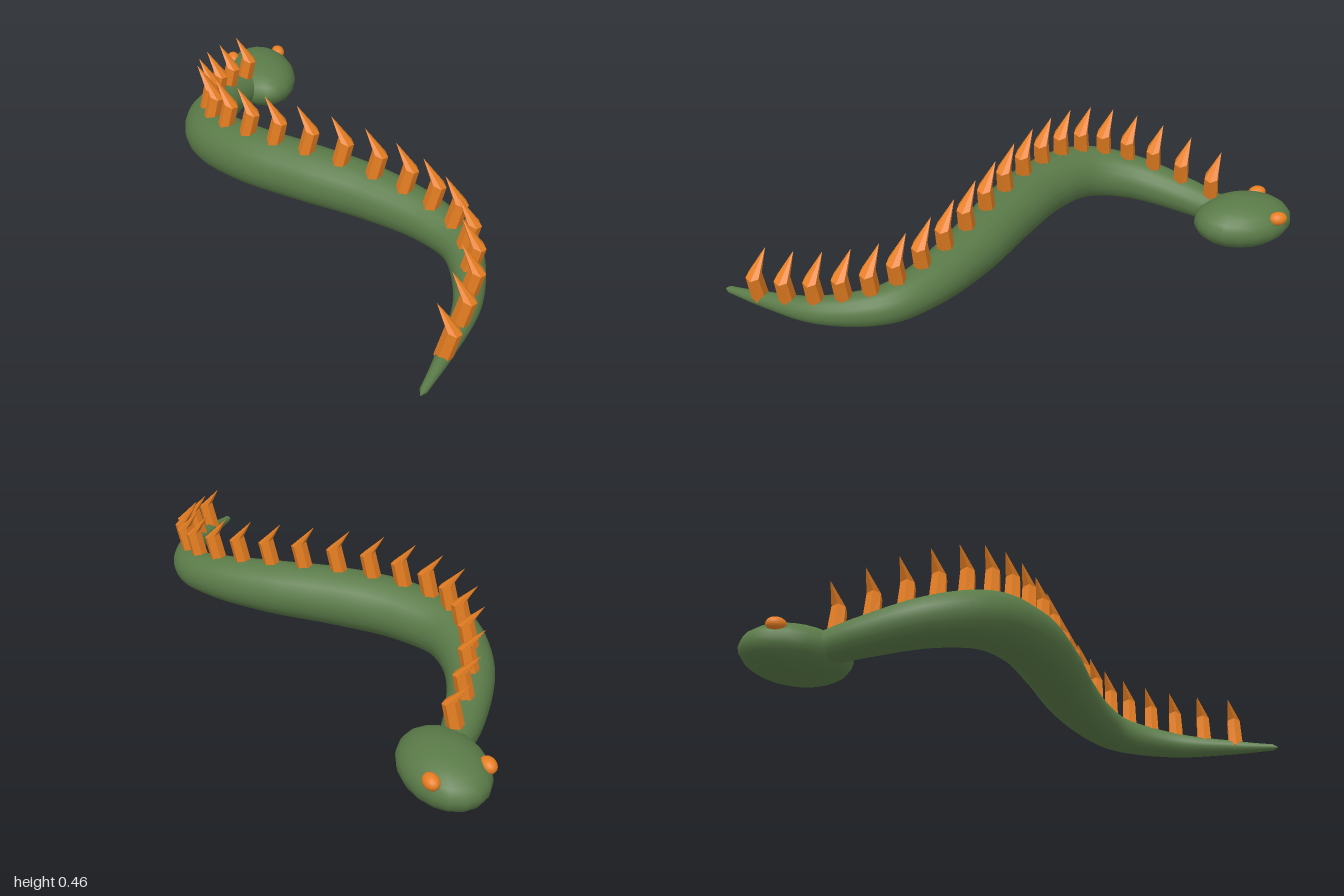
import * as THREE from 'three';

const green = new THREE.MeshStandardMaterial({ color: 0x5a7a48 });
green.name = 'scaleGreen';
const orange = new THREE.MeshStandardMaterial({ color: 0xe67e22 });
orange.name = 'spineOrange';

// Body stations from tail to neck: x, y, z, radius
const stations = [
  [0.01, 0.095, 0.99, 0.011],
  [0.13, 0.115, 0.87, 0.026],
  [0.27, 0.144, 0.70, 0.046],
  [0.325, 0.172, 0.50, 0.064],
  [0.275, 0.189, 0.365, 0.077],
  [0.135, 0.204, 0.19, 0.092],
  [-0.045, 0.211, 0.02, 0.1],
  [-0.2, 0.206, -0.145, 0.1],
  [-0.288, 0.189, -0.315, 0.094],
  [-0.265, 0.158, -0.485, 0.081],
  [-0.155, 0.12, -0.655, 0.065],
  [-0.01, 0.09, -0.8, 0.05],
];
const path = new THREE.CatmullRomCurve3(stations.map(([x, y, z]) => new THREE.Vector3(x, y, z)));
const radii = new THREE.SplineCurve(stations.map((s) => new THREE.Vector2(s[3], 0)));

function add(group, name, geometry, material) {
  const mesh = new THREE.Mesh(geometry, material);
  mesh.name = name;
  group.add(mesh);
  return mesh;
}

// Tube of unit radius, scaled ring by ring; the end rings close the tube
function bodyGeometry() {
  const rings = 96, sides = 18;
  const geo = new THREE.TubeGeometry(path, rings, 1, sides, false);
  const pos = geo.attributes.position;
  const v = new THREE.Vector3();
  for (let i = 0; i <= rings; i++) {
    const own = path.getPointAt(i / rings);
    const closed = i === 0 || i === rings;
    const u = THREE.MathUtils.clamp(i, 1, rings - 1) / rings;
    const r = closed ? 0 : radii.getPoint(path.getUtoTmapping(u)).x;
    const centre = closed ? path.getPointAt((i === 0 ? 0.001 : 0.999)) : own;
    for (let j = 0; j <= sides; j++) {
      const k = i * (sides + 1) + j;
      v.fromBufferAttribute(pos, k).sub(own).multiplyScalar(r).add(centre);
      pos.setXYZ(k, v.x, v.y, v.z);
    }
  }
  return geo;
}

// Bent spine: a six-sided cone whose rings follow a crooked line
function spineGeometry() {
  const rows = [ // top to bottom: x, y, z, radius
    [-0.025, 0.153, -0.025, 0.0005],
    [0.012, 0.08, 0.02, 0.026],
    [-0.008, -0.025, 0.008, 0.029],
  ];
  const geo = new THREE.CylinderGeometry(1, 1, 2, 6, 2).toNonIndexed();
  const pos = geo.attributes.position;
  for (let i = 0; i < pos.count; i++) {
    const [x, y, z, r] = rows[Math.round(1 - pos.getY(i))];
    const px = pos.getX(i), pz = pos.getZ(i);
    // Middle ring dips towards the outside of the bend
    const dip = r === 0.026 ? -0.008 * px - 0.006 * pz : 0;
    pos.setXYZ(i, x + px * r, y + dip, z + pz * r);
  }
  geo.computeVertexNormals();
  return geo;
}

// Curve parameter where the body passes a given z
function parameterAtZ(z) {
  let lo = 0, hi = 1;
  for (let i = 0; i < 30; i++) {
    const mid = (lo + hi) / 2;
    if (path.getPoint(mid).z > z) lo = mid; else hi = mid;
  }
  return lo;
}

export function createModel() {
  const model = new THREE.Group();
  model.name = 'serpent';

  add(model, 'body', bodyGeometry(), green);

  // Head and eyes
  const ball = new THREE.SphereGeometry(1, 18, 14);
  const head = add(model, 'head', ball, green);
  head.scale.set(0.13, 0.088, 0.178);
  head.position.set(0.01, 0.091, -0.822);
  for (const side of [-1, 1]) {
    const eye = add(model, side > 0 ? 'leftEye' : 'rightEye', ball, orange);
    eye.scale.set(0.025, 0.024, 0.033);
    eye.position.set(0.01 + side * 0.092, 0.135, -0.913);
  }

  // Row of spines along the back
  const spines = new THREE.Group();
  spines.name = 'spines';
  model.add(spines);
  const spine = spineGeometry();
  for (let i = 0; i < 20; i++) {
    const t = parameterAtZ(0.87 - i * 0.0847);
    const mesh = add(spines, 'spine', spine, orange);
    mesh.position.copy(path.getPoint(t));
    mesh.position.y += radii.getPoint(t).x;
  }
  return model;
}
